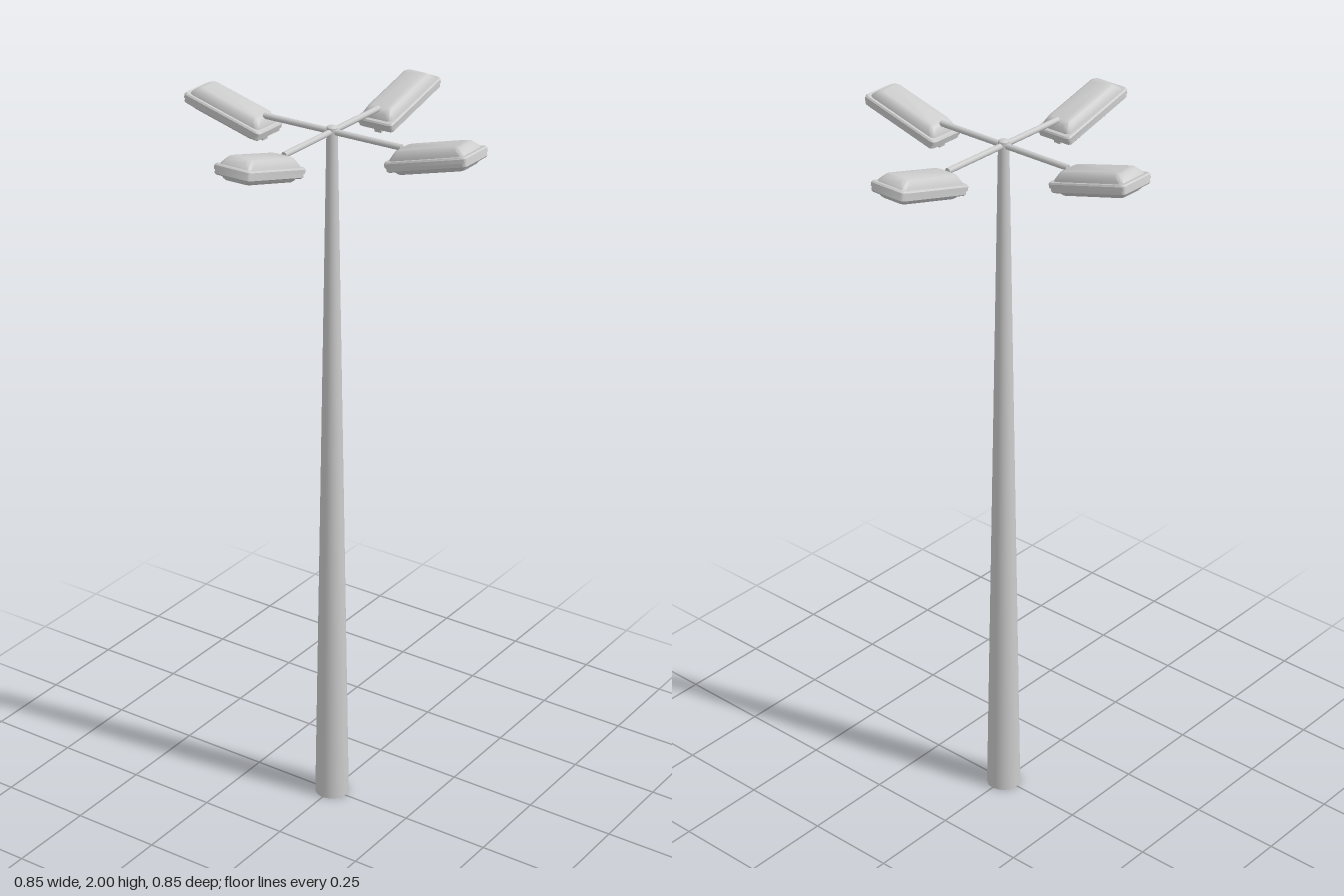
import * as THREE from 'three';
import { toCreasedNormals } from 'three/addons/utils/BufferGeometryUtils.js';

const material = new THREE.MeshStandardMaterial({ color: 0xcccccc });

function addMesh(parent, name, geometry) {
  const mesh = new THREE.Mesh(geometry, material);
  mesh.name = name;
  parent.add(mesh);
  return mesh;
}

// Loft through rounded rectangles, listed bottom to top: [y, halfLength, halfWidth, cornerRadius]
function loftRoundedRects(levels, cornerSteps = 5) {
  const positions = [], index = [];
  const n = 4 * (cornerSteps + 1);
  for (const [y, hl, hw, r] of levels) {
    for (let c = 0; c < 4; c++) {
      const sx = c === 0 || c === 3 ? 1 : -1;
      const sz = c < 2 ? 1 : -1;
      for (let k = 0; k <= cornerSteps; k++) {
        const a = (c + k / cornerSteps) * Math.PI / 2;
        positions.push(sx * (hl - r) + r * Math.cos(a), y, sz * (hw - r) + r * Math.sin(a));
      }
    }
  }
  for (let l = 0; l < levels.length - 1; l++) {
    for (let i = 0; i < n; i++) {
      const a = l * n + i, b = l * n + (i + 1) % n;
      index.push(a, a + n, b, b, a + n, b + n);
    }
  }
  const top = (levels.length - 1) * n;
  for (let i = 1; i < n - 1; i++) {
    index.push(0, i, i + 1);
    index.push(top, top + i + 1, top + i);
  }
  const geometry = new THREE.BufferGeometry();
  geometry.setAttribute('position', new THREE.Float32BufferAttribute(positions, 3));
  geometry.setIndex(index);
  return toCreasedNormals(geometry, 0.6);
}

// Lamp head with its length along local x
function createLamp() {
  const lamp = new THREE.Group();
  lamp.name = 'lampHead';
  addMesh(lamp, 'lens', loftRoundedRects([
    [-0.024, 0.096, 0.035, 0.010],
    [-0.020, 0.101, 0.040, 0.012],
    [-0.010, 0.108, 0.045, 0.012],
  ]));
  addMesh(lamp, 'lowerRim', loftRoundedRects([
    [-0.013, 0.117, 0.050, 0.010],
    [-0.010, 0.120, 0.053, 0.011],
    [0.000, 0.120, 0.053, 0.011],
  ]));
  addMesh(lamp, 'upperRim', loftRoundedRects([
    [0.000, 0.123, 0.055, 0.012],
    [0.010, 0.123, 0.055, 0.012],
    [0.014, 0.120, 0.052, 0.011],
    [0.014, 0.114, 0.047, 0.010],
  ]));
  addMesh(lamp, 'domeCover', loftRoundedRects([
    [0.012, 0.112, 0.046, 0.012],
    [0.018, 0.110, 0.045, 0.012],
    [0.027, 0.103, 0.040, 0.014],
    [0.034, 0.097, 0.035, 0.014],
    [0.037, 0.089, 0.028, 0.013],
  ]));
  // Small latch under the inner end
  addMesh(lamp, 'latch', new THREE.BoxGeometry(0.01, 0.014, 0.02)).position.set(-0.106, -0.019, 0);
  return lamp;
}

export function createModel() {
  const model = new THREE.Group();
  model.name = 'streetLight';
  const top = new THREE.Group();
  top.name = 'lampCluster';
  top.position.z = -0.003;
  model.add(top);

  // Tapered pole with a low cap
  addMesh(top, 'pole', new THREE.CylinderGeometry(0.014, 0.047, 1.96, 32)).position.y = 0.98;
  const cap = addMesh(top, 'poleCap', new THREE.SphereGeometry(0.014, 24, 8, 0, Math.PI * 2, 0, Math.PI / 2));
  cap.scale.y = 0.4;
  cap.position.y = 1.96;

  // Four arms, each with an upward tilted lamp head
  for (let i = 0; i < 4; i++) {
    const branch = new THREE.Group();
    branch.name = 'branch' + (i + 1);
    branch.rotation.y = i * Math.PI / 2;
    const arm = addMesh(branch, 'arm', new THREE.CylinderGeometry(0.008, 0.008, 0.207, 16));
    arm.rotation.z = Math.PI / 2;
    arm.position.set(0.1035, 1.95, 0);
    const lamp = createLamp();
    lamp.position.set(0.307, 1.94, 0);
    lamp.rotation.z = THREE.MathUtils.degToRad(15);
    branch.add(lamp);
    top.add(branch);
  }
  return model;
}
